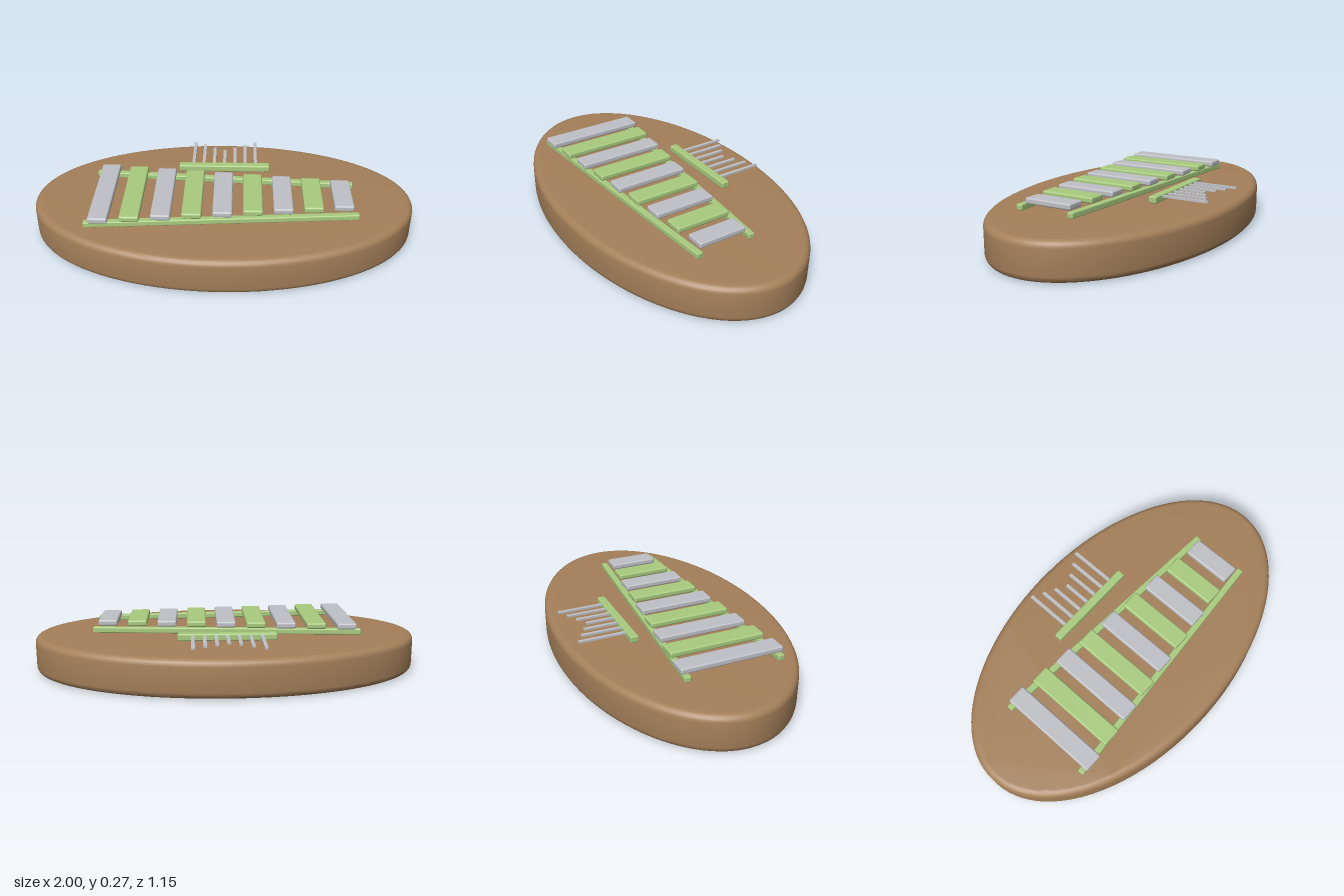
import * as THREE from 'three';
import { toCreasedNormals } from 'three/addons/utils/BufferGeometryUtils.js';
import { RoundedBoxGeometry } from 'three/addons/geometries/RoundedBoxGeometry.js';

const material = (name, color) => {
  const m = new THREE.MeshStandardMaterial({ color });
  m.name = name;
  return m;
};

export function createModel() {
  const wood = material('brown wood', 0xa5805a);
  const green = material('light green', 0xa9cc80);
  const grey = material('pale grey', 0xbfc1c6);
  const model = new THREE.Group();
  model.name = 'instrumentBoard';

  const add = (name, geometry, mat, x, y, z, turn = 0) => {
    const mesh = new THREE.Mesh(geometry, mat);
    mesh.name = name;
    mesh.position.set(x, y, z);
    mesh.rotation.y = turn;
    model.add(mesh);
  };
  const block = (w, h, d, r) => new RoundedBoxGeometry(w, h, d, 2, r);

  // Oval board with rounded rims
  const height = 0.194, bevel = 0.034;
  const oval = new THREE.Shape();
  oval.absellipse(0, 0, 1, 0.577, 0, Math.PI * 2);
  const board = new THREE.ExtrudeGeometry(oval, {
    depth: height - 2 * bevel, curveSegments: 48,
    bevelThickness: bevel, bevelSize: bevel, bevelOffset: -bevel, bevelSegments: 5,
  });
  board.rotateX(-Math.PI / 2);
  add('board', toCreasedNormals(board, 0.6), wood, 0, bevel, 0);

  // Two rails that converge toward the short bars
  const midZ = 0.073, slope = 0.0715;
  for (const side of [-1, 1]) {
    add(side > 0 ? 'frontRail' : 'backRail', block(1.385, 0.03, 0.034, 0.006), green,
      0, 0.227, midZ + side * 0.195, side * slope);
  }

  // Nine sounding bars, long to short, in alternating colours
  for (let i = 0; i < 9; i++) {
    const length = 0.534 - i * 0.0342;
    add('soundBar' + (i + 1), block(0.1, 0.031, length, 0.009), i % 2 ? green : grey,
      -0.616 + i * 0.154, 0.2565, midZ);
  }

  // Comb of thin tines held by a small bridge
  add('tineBridge', block(0.5, 0.036, 0.044, 0.007), green, 0, 0.227, -0.251);
  for (let i = -3; i <= 3; i++) {
    const start = -0.25, end = -0.42 - Math.abs(i) * 0.032;
    add('tine' + (i + 4), new THREE.BoxGeometry(0.017, 0.01, start - end), grey,
      i * 0.0575, 0.234, (start + end) / 2);
  }
  return model;
}
